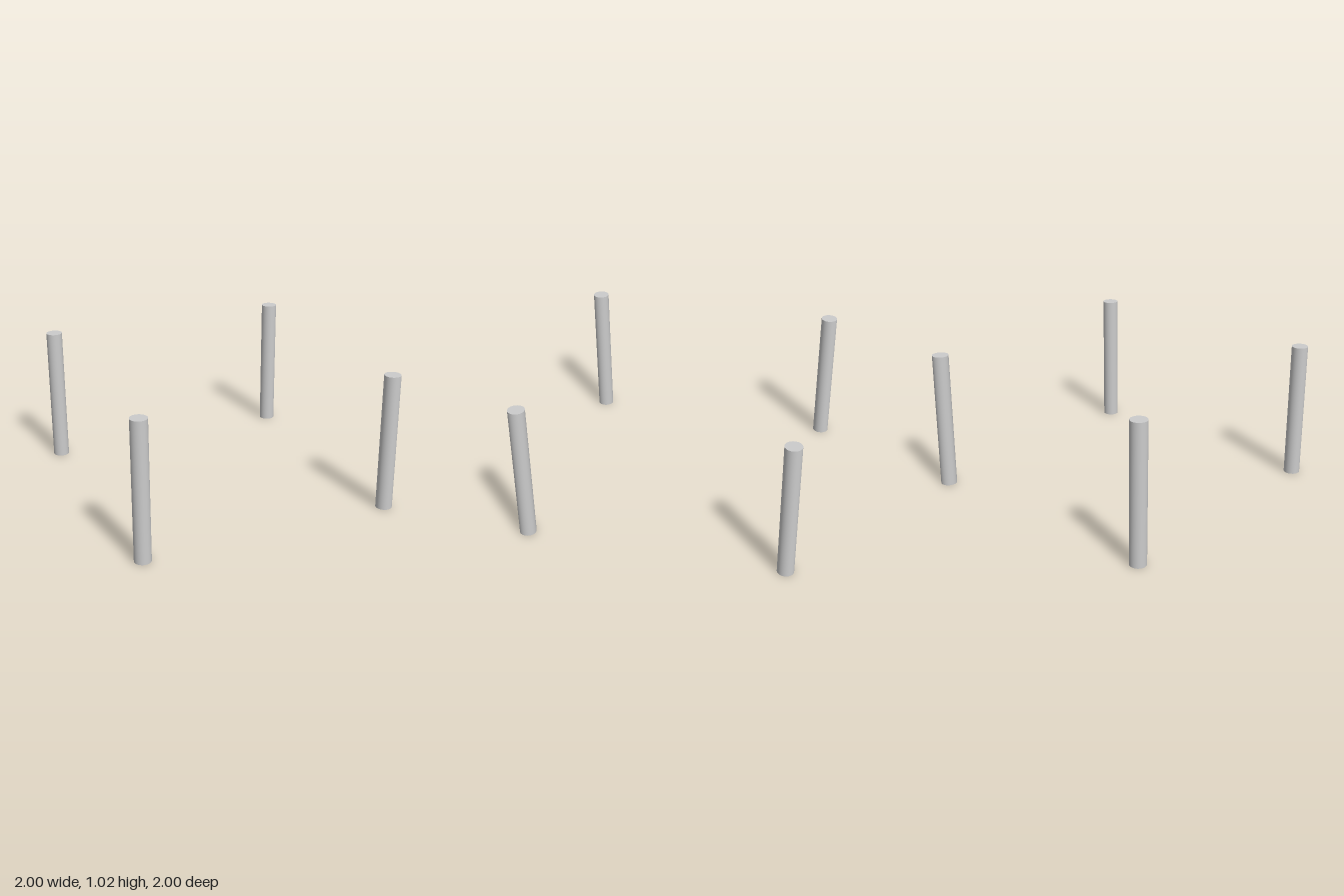
import * as THREE from 'three';

const HEIGHT = 1.025;
const RADIUS = 0.06;
const OFFSET = 1 - RADIUS; // post centre, so the outer edges reach 1

export function createModel() {
  const model = new THREE.Group();
  model.name = 'cornerPosts';
  const material = new THREE.MeshStandardMaterial({ color: 0xcccccc });
  const geometry = new THREE.CylinderGeometry(RADIUS, RADIUS, HEIGHT, 48);

  // One round post at each corner of the square
  for (const [zName, z] of [['front', 1], ['back', -1]]) {
    for (const [xName, x] of [['Left', 1], ['Right', -1]]) {
      const post = new THREE.Mesh(geometry, material);
      post.name = `${zName}${xName}Post`;
      post.position.set(x * OFFSET, HEIGHT / 2, z * OFFSET);
      model.add(post);
    }
  }
  return model;
}
